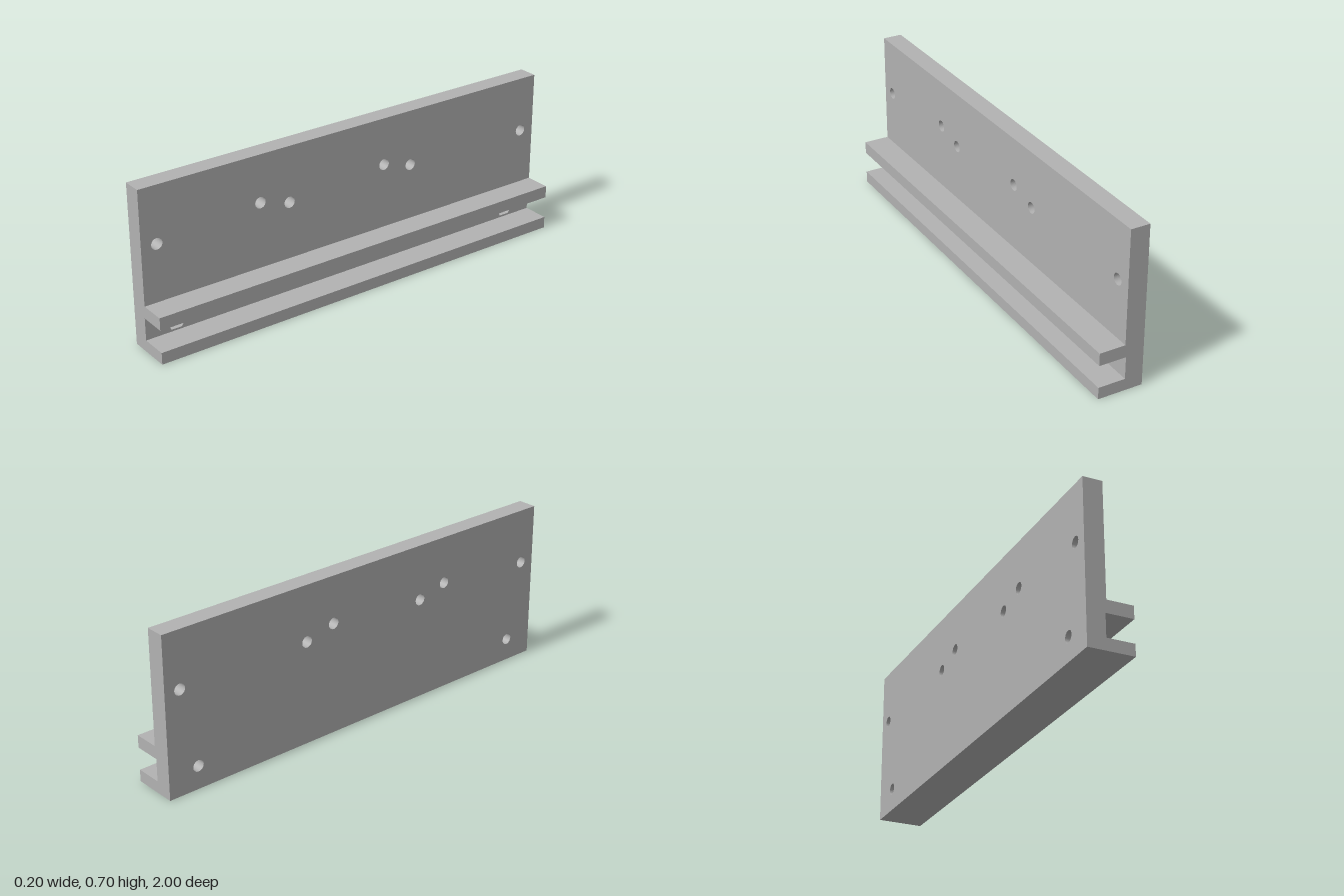
import * as THREE from 'three';

const BACK = -0.099, FRONT = 0.099, LENGTH = 2;
const HOLE_R = 0.025, NUT_R = 0.048;

// Hole centres as [z, y]
const mountHoles = [[0.93, 0.458], [0.453, 0.496], [0.313, 0.458], [-0.167, 0.496], [-0.307, 0.458], [-0.93, 0.458]];
const boltHoles = [[0.86, 0.102], [-0.86, 0.102]];

function circle([z, y]) {
  return new THREE.Path().absarc(-z, y, HOLE_R, 0, Math.PI * 2, true);
}

function hexagon([z, y]) {
  const points = [];
  for (let i = 0; i < 6; i++) {
    const a = -i * Math.PI / 3;
    points.push(new THREE.Vector2(-z + NUT_R * Math.cos(a), y + NUT_R * Math.sin(a)));
  }
  return new THREE.Path(points);
}

export function createModel() {
  const group = new THREE.Group();
  const grey = new THREE.MeshStandardMaterial({ color: 0xb2b2b2 });
  grey.name = 'grey';

  function add(name, geometry) {
    const mesh = new THREE.Mesh(geometry, grey);
    mesh.name = name;
    group.add(mesh);
    return mesh;
  }

  // Full-length layer from x0 to x1, pierced along x
  function layer(name, x0, x1, y0, y1, holes) {
    const h = LENGTH / 2;
    const shape = new THREE.Shape([[-h, y0], [h, y0], [h, y1], [-h, y1]].map(p => new THREE.Vector2(...p)));
    shape.holes.push(...holes);
    const geometry = new THREE.ExtrudeGeometry(shape, { depth: x1 - x0, bevelEnabled: false, curveSegments: 24 });
    geometry.rotateY(Math.PI / 2).translate(x0, 0, 0);
    add(name, geometry);
  }

  function rail(name, x0, y0, y1) {
    add(name, new THREE.BoxGeometry(FRONT - x0, y1 - y0, LENGTH))
      .position.set((x0 + FRONT) / 2, (y0 + y1) / 2, 0);
  }

  // Upright plate: the back layer is also the floor of the nut pockets
  layer('backPlate', BACK, -0.05, 0, 0.705, [...mountHoles, ...boltHoles].map(circle));
  layer('upperPlate', -0.05, -0.015, 0.151, 0.705, mountHoles.map(circle));
  layer('slotWall', -0.05, -0.02, 0, 0.151, boltHoles.map(hexagon));

  // Two rails forming the channel
  rail('upperRail', -0.015, 0.151, 0.206);
  rail('lowerRail', -0.02, 0, 0.052);

  return group;
}
